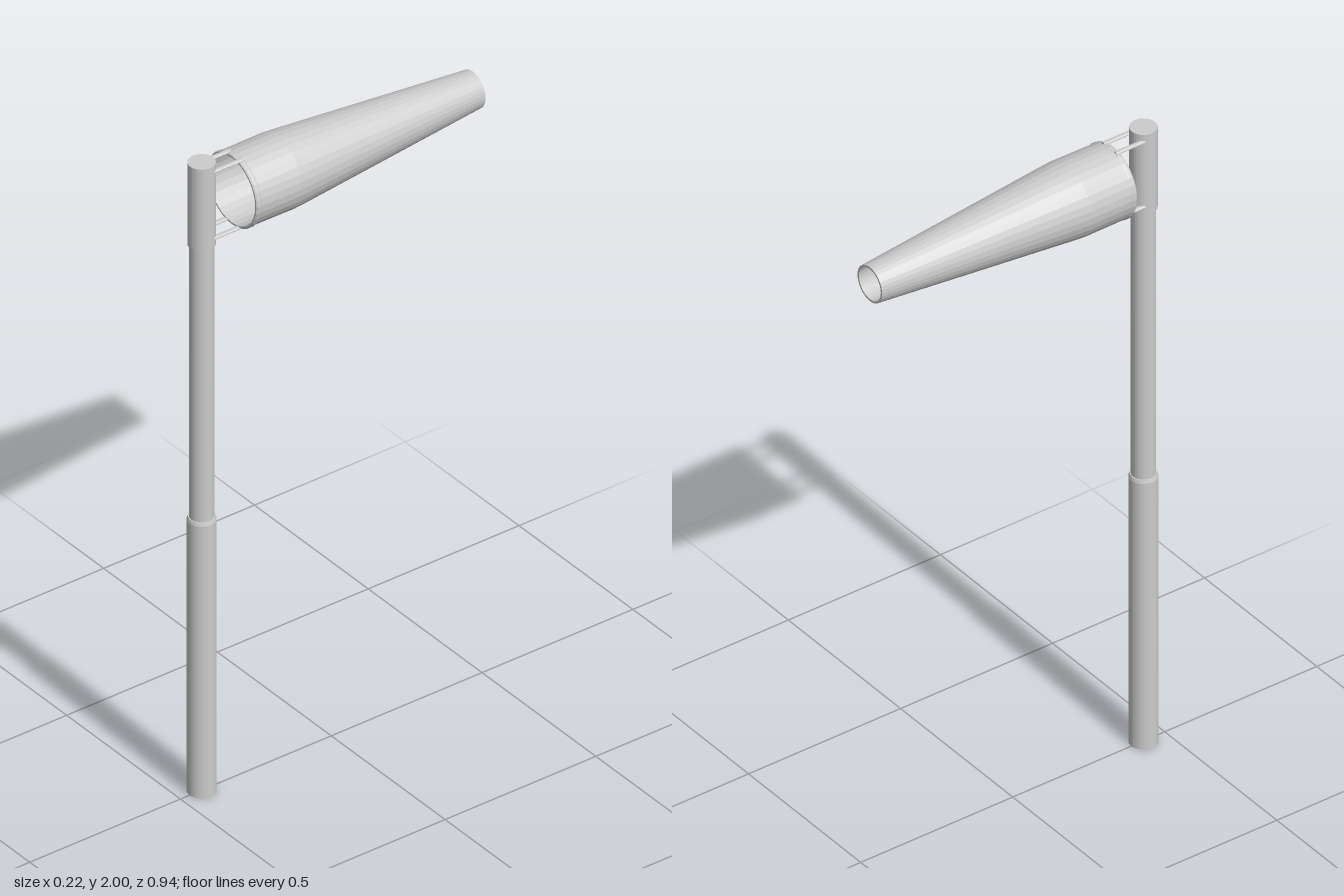
import * as THREE from 'three';

const SIDES = 32;
const POLE_Z = 0.43;
const SOCK_Y = 1.87;

export function createModel() {
  const model = new THREE.Group();
  model.name = 'windsock';
  const material = new THREE.MeshStandardMaterial({ color: 0xcccccc, flatShading: true });

  const add = (name, geometry, x, y, z) => {
    const mesh = new THREE.Mesh(geometry, material);
    mesh.name = name;
    mesh.position.set(x, y, z);
    model.add(mesh);
    return mesh;
  };

  // Upright pole sections: name, radius, bottom, top
  const sections = [
    ['lowerPole', 0.04, 0, 0.865],
    ['poleCollar', 0.037, 0.865, 0.875],
    ['upperPole', 0.034, 0.875, 1.75],
    ['swivelSleeve', 0.038, 1.74, 2],
  ];
  for (const [name, r, y0, y1] of sections) {
    const bottom = name === 'poleCollar' ? 0.04 : r;
    add(name, new THREE.CylinderGeometry(r, bottom, y1 - y0, SIDES), 0, (y0 + y1) / 2, POLE_Z);
  }

  // Hollow sock: closed wall profile (radius, z), outside then back along the inside
  const profile = [
    [0.103, 0.33], [0.108, 0.33], [0.111, 0.326], [0.111, 0.318], [0.109, 0.313],
    [0.11, 0.18], [0.107, 0.14], [0.055, -0.47],
    [0.049, -0.47], [0.101, 0.14], [0.103, 0.18], [0.103, 0.33],
  ].map(([r, z]) => new THREE.Vector2(r, z)).reverse();
  const sock = new THREE.LatheGeometry(profile, SIDES);
  sock.rotateX(Math.PI / 2);
  const sockMesh = add('sock', sock, 0, SOCK_Y, 0);
  sockMesh.material = material.clone();
  sockMesh.material.side = THREE.DoubleSide;

  // Four flattened rods holding the mouth of the sock to the sleeve
  for (const sx of [-1, 1]) {
    for (const sy of [-1, 1]) {
      const rod = new THREE.CylinderGeometry(0.008, 0.008, 0.11, 10);
      rod.rotateX(Math.PI / 2);
      rod.scale(1, 0.65, 1);
      add('supportRod', rod, sx * 0.027, SOCK_Y + sy * 0.106, 0.372);
    }
  }
  return model;
}
